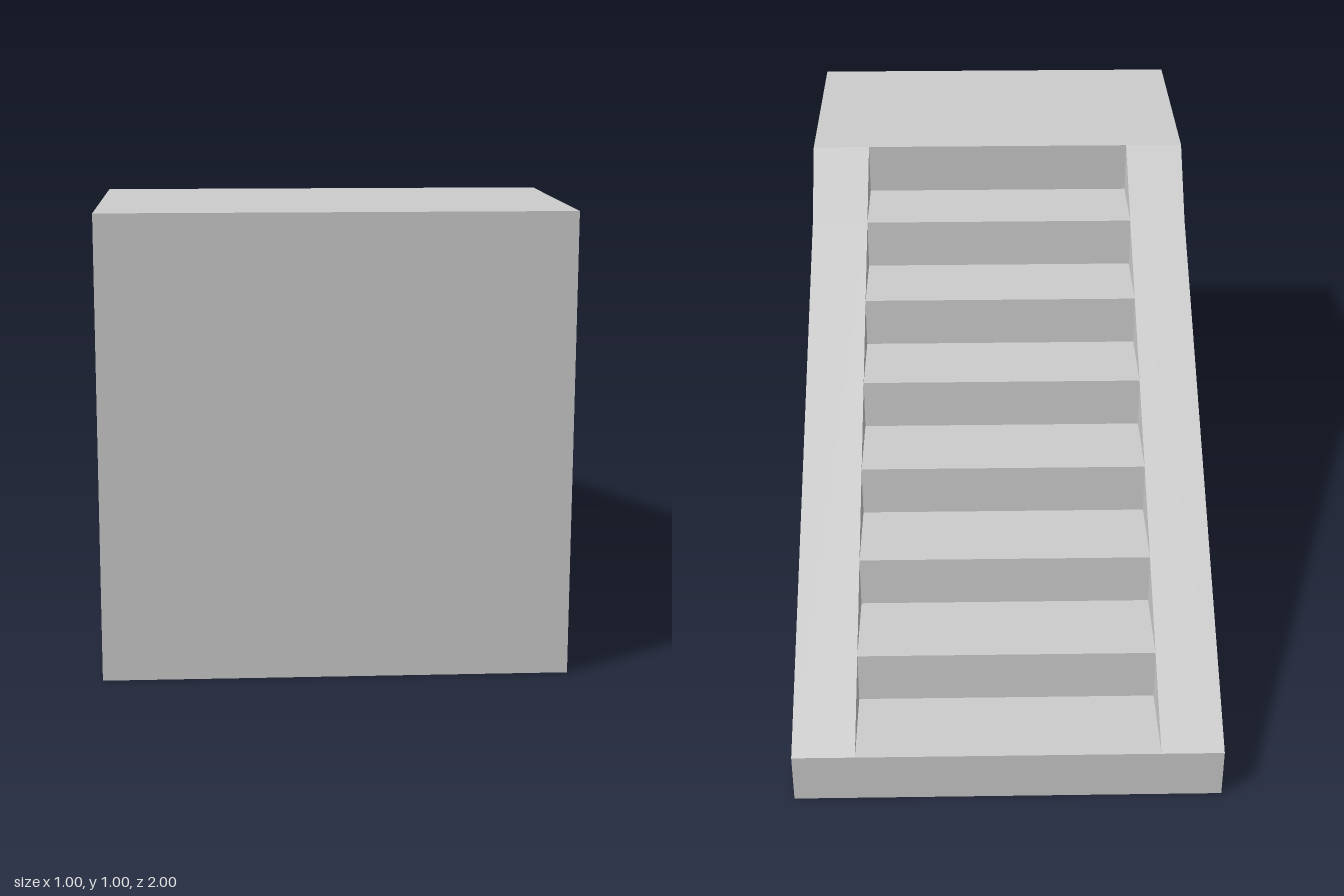
import * as THREE from 'three';

const material = new THREE.MeshStandardMaterial({ color: 0xcccccc, flatShading: true, side: THREE.DoubleSide });

const INNER = 0.35; // half width of the stairs
const STEPS = 7;

// Outline stations from the low end to the high end: z, top height, half width
const stations = [[-1, 0.125, 0.495], [0.24, 0.87, 0.495], [0.44, 1, 0.5], [1, 1, 0.5]];

function meshFrom(name, triangles) {
  const geometry = new THREE.BufferGeometry();
  geometry.setAttribute('position', new THREE.Float32BufferAttribute(triangles.flat(2), 3));
  geometry.computeVertexNormals();
  const mesh = new THREE.Mesh(geometry, material);
  mesh.name = name;
  return mesh;
}

// Skin between two lines with equal point counts
function loft(a, b) {
  const triangles = [];
  for (let i = 0; i < a.length - 1; i++) {
    triangles.push([a[i], b[i], b[i + 1]], [a[i], b[i + 1], a[i + 1]]);
  }
  return triangles;
}

// Sweep a [z, y] profile straight across the width
function across(profile, halfWidth) {
  const line = (x) => profile.map(([z, y]) => [x, y, z]);
  return loft(line(halfWidth), line(-halfWidth));
}

// Mirror triangles to the other side, keeping them facing outward
function mirrored(triangles) {
  return triangles.map((t) => t.map(([x, y, z]) => [-x, y, z]).reverse());
}

export function createModel() {
  const group = new THREE.Group();
  group.name = 'stairBlock';

  // Step edges lie on the slope; each riser leans back slightly
  const edges = [];
  for (let k = 0; k < STEPS; k++) {
    const t = k / (STEPS - 1);
    edges.push([THREE.MathUtils.lerp(-1, 0.24, t), THREE.MathUtils.lerp(0.125, 0.87, t)]);
  }
  edges.push([0.44, 1]);

  const stairProfile = [edges[0]];
  const cheek = [];
  for (let k = 0; k < STEPS; k++) {
    const [z0, y0] = edges[k];
    const [z1, y1] = edges[k + 1];
    const corner = [k < STEPS - 1 ? z1 - 0.008 : z1, y0];
    stairProfile.push(corner, edges[k + 1]);
    cheek.push([[INNER, y0, z0], [INNER, corner[1], corner[0]], [INNER, y1, z1]]);
  }
  group.add(meshFrom('steps', across(stairProfile, INNER)));

  // Side walls, sloping side strips and the cheeks beside the steps
  const ground = stations.map(([z, , x]) => [x, 0, z]);
  const top = stations.map(([z, y, x]) => [x, y, z]);
  const slope = top.slice(0, 3);
  const strip = loft(slope, slope.map(([, y, z]) => [INNER, y, z]));
  const sides = { sideWall: loft(ground, top), slopeStrip: strip, stepCheek: cheek };
  for (const [name, triangles] of Object.entries(sides)) {
    group.add(meshFrom(name + 'Left', triangles));
    group.add(meshFrom(name + 'Right', mirrored(triangles)));
  }

  // Platform and end walls; the underside stays open
  group.add(meshFrom('platform', across([[0.44, 1], [1, 1]], 0.5)));
  group.add(meshFrom('frontWall', across([[1, 1], [1, 0]], 0.5)));
  group.add(meshFrom('backWall', across([[-1, 0], [-1, 0.125]], 0.495)));

  return group;
}
